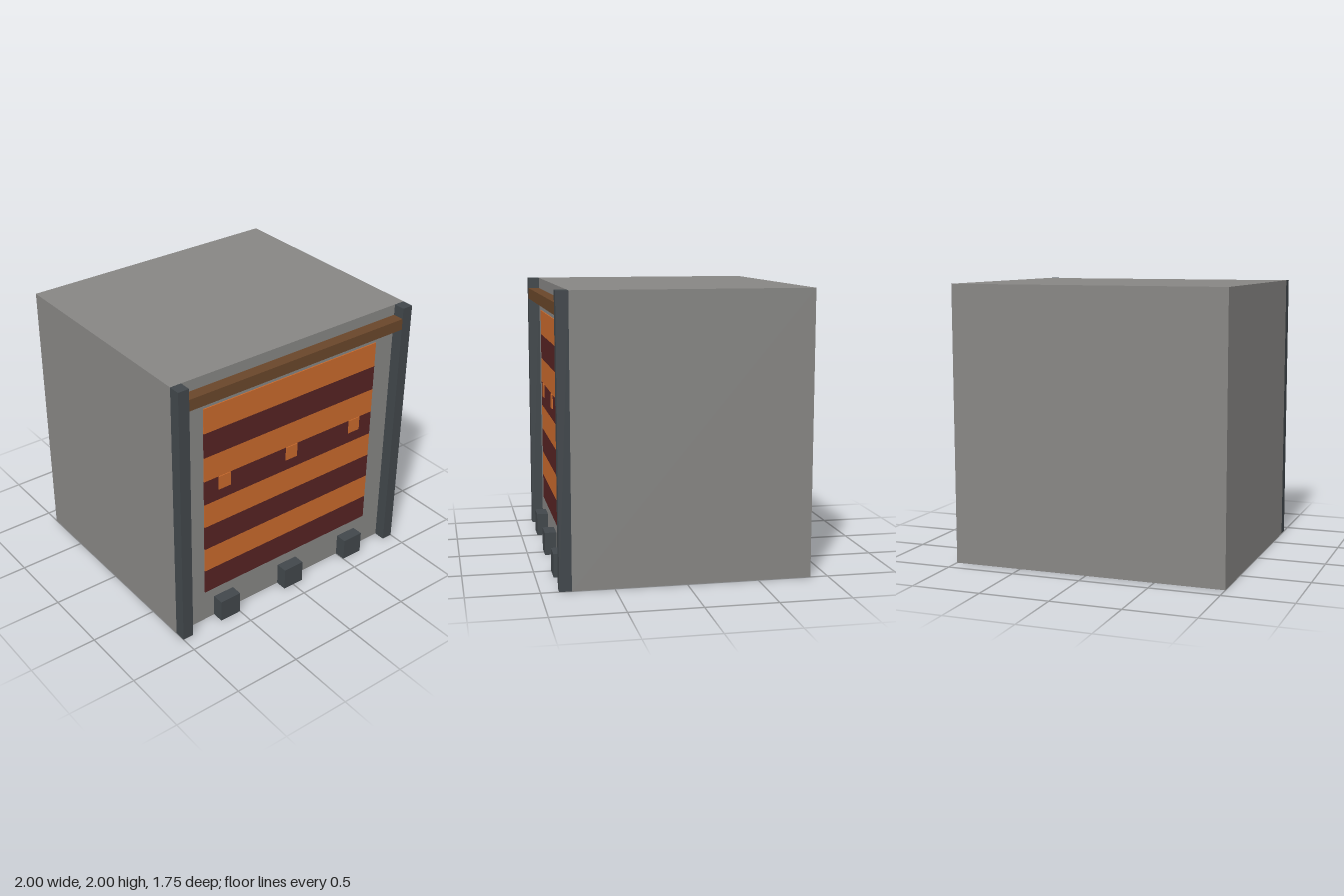
import * as THREE from 'three';

const paint = (name, color) => {
  const m = new THREE.MeshStandardMaterial({ color });
  m.name = name;
  return m;
};

export function createModel() {
  const grey = paint('wall grey', 0x868583);
  const slate = paint('dark slate', 0x41474b);
  const brown = paint('beam brown', 0x69462a);
  const orange = paint('stripe orange', 0xc8692c);
  const maroon = paint('stripe maroon', 0x562323);

  const model = new THREE.Group();
  model.name = 'stripedDoorBlock';

  // Box given by its lower and upper corners
  const box = (name, mat, x0, x1, y0, y1, z0, z1) => {
    const mesh = new THREE.Mesh(new THREE.BoxGeometry(x1 - x0, y1 - y0, z1 - z0), mat);
    mesh.position.set((x0 + x1) / 2, (y0 + y1) / 2, (z0 + z1) / 2);
    mesh.name = name;
    model.add(mesh);
  };

  const wall = 0.79, front = 0.875;

  // Main block
  box('body', grey, -1, 1, 0, 2, -0.875, wall);

  // Corner posts and the beam between them
  box('rightPost', slate, -1, -0.917, 0, 2, wall, front);
  box('leftPost', slate, 0.917, 1, 0, 2, wall, front);
  box('topBeam', brown, -0.917, 0.917, 1.837, 1.92, wall, front);

  // Striped shutter, alternating from the bottom up
  const bottom = 0.25, stripe = 1.504 / 8;
  for (let i = 0; i < 8; i++) {
    const y = bottom + i * stripe;
    box('shutterStripe' + (i + 1), i % 2 ? orange : maroon, -0.752, 0.752, y, y + stripe, wall, wall + 0.008);
  }

  // Three tabs hanging on the shutter, three blocks at its foot
  [-0.585, 0, 0.585].forEach((x, i) => {
    box('shutterTab' + (i + 1), orange, x - 0.05, x + 0.05, 1.086, 1.19, wall, wall + 0.014);
    box('footBlock' + (i + 1), slate, x - 0.084, x + 0.084, 0, 0.168, wall, front);
  });

  return model;
}
